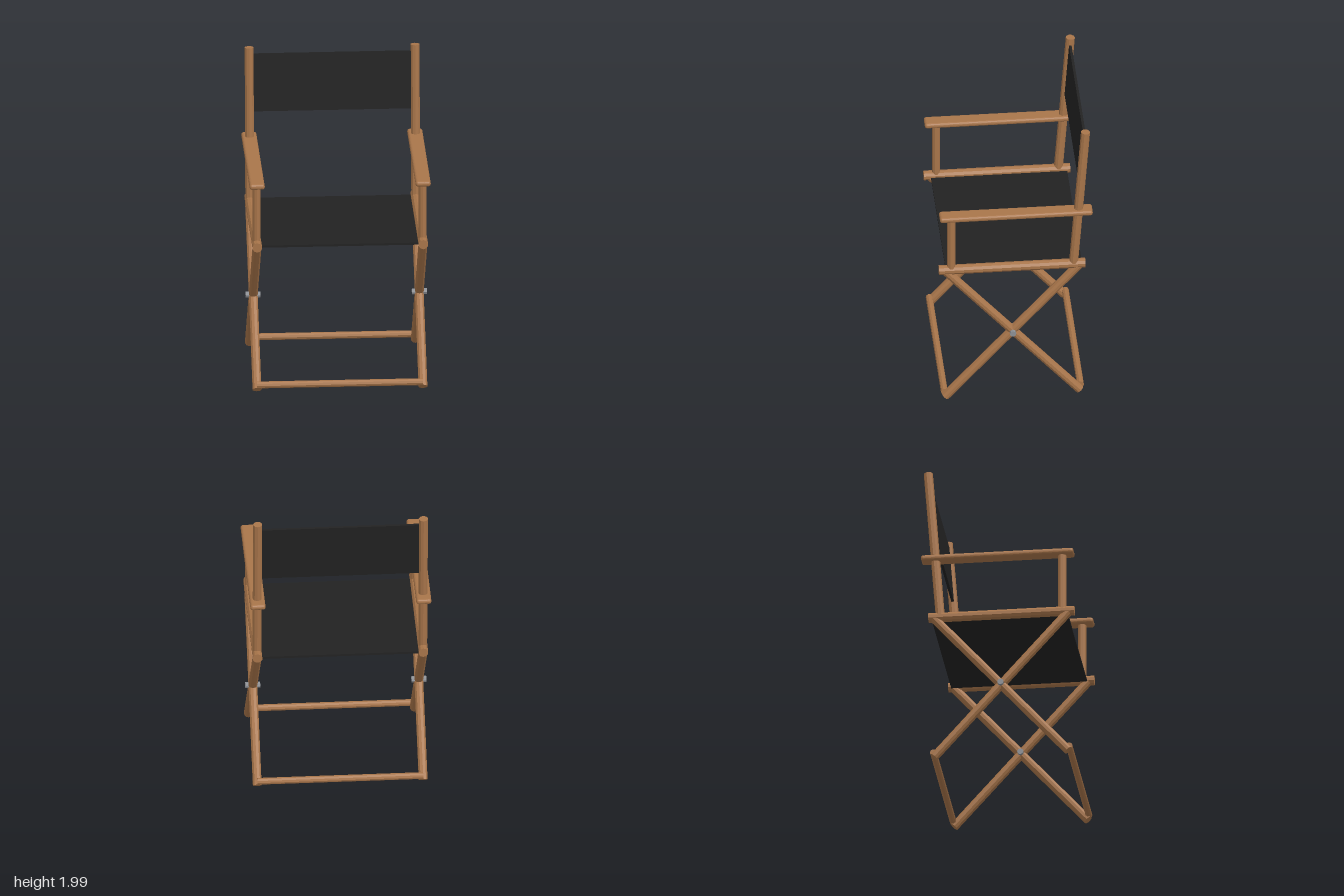
import * as THREE from 'three';
import { RoundedBoxGeometry } from 'three/addons/geometries/RoundedBoxGeometry.js';

export function createModel() {
  const group = new THREE.Group();
  group.name = 'foldingChair';

  const wood = new THREE.MeshStandardMaterial({ color: 0xa8754a, flatShading: true });
  wood.name = 'wood';
  const canvas = new THREE.MeshStandardMaterial({ color: 0x222222 });
  canvas.name = 'black canvas';
  const steel = new THREE.MeshStandardMaterial({ color: 0x8c8f94, flatShading: true });
  steel.name = 'steel';

  const add = (name, geometry, material) => {
    const mesh = new THREE.Mesh(geometry, material);
    mesh.name = name;
    group.add(mesh);
    return mesh;
  };

  // Faceted round bar between two points
  const up = new THREE.Vector3(0, 1, 0);
  const bar = (name, a, b, radius, material = wood, sides = 10) => {
    const start = new THREE.Vector3(...a);
    const dir = new THREE.Vector3(...b).sub(start);
    const mesh = add(name, new THREE.CylinderGeometry(radius, radius, dir.length(), sides), material);
    mesh.position.copy(start).addScaledVector(dir, 0.5);
    mesh.quaternion.setFromUnitVectors(up, dir.normalize());
    return mesh;
  };

  for (const [side, s] of [['left', 1], ['right', -1]]) {
    const x = s * 0.523;
    // Seat rail and upright posts
    bar(side + 'SeatRail', [x, 0.997, -0.44], [x, 0.997, 0.485], 0.031);
    bar(side + 'BackPost', [x, 1.0, -0.366], [x, 1.998, -0.442], 0.029);
    bar(side + 'FrontPost', [x, 1.0, 0.407], [x, 1.39, 0.407], 0.026);

    // Armrest
    add(side + 'Armrest', new RoundedBoxGeometry(0.096, 0.036, 0.966, 3, 0.016), wood)
      .position.set(x, 1.4, -0.002);

    // Crossed legs and their pivot bolt
    bar(side + 'LegToFront', [x, 0.99, -0.405], [x, 0.03, 0.445], 0.029);
    bar(side + 'LegToBack', [x, 0.99, 0.445], [x, 0.03, -0.405], 0.029);
    bar(side + 'PivotBolt', [s * 0.477, 0.51, 0.02], [s * 0.571, 0.51, 0.02], 0.02, steel, 8);
  }

  // Floor crossbars joining the feet
  bar('frontCrossbar', [-0.523, 0.063, 0.45], [0.523, 0.063, 0.45], 0.022);
  bar('rearCrossbar', [-0.523, 0.063, -0.41], [0.523, 0.063, -0.41], 0.022);

  // Seat sling
  add('seat', new THREE.BoxGeometry(1.03, 0.014, 0.86), canvas).position.set(0, 0.988, 0.01);

  // Back sling, leaning with the posts
  const back = add('backrest', new THREE.BoxGeometry(1.02, 0.376, 0.016), canvas);
  back.position.set(0, 1.768, -0.425);
  back.rotation.x = -0.076;

  return group;
}
